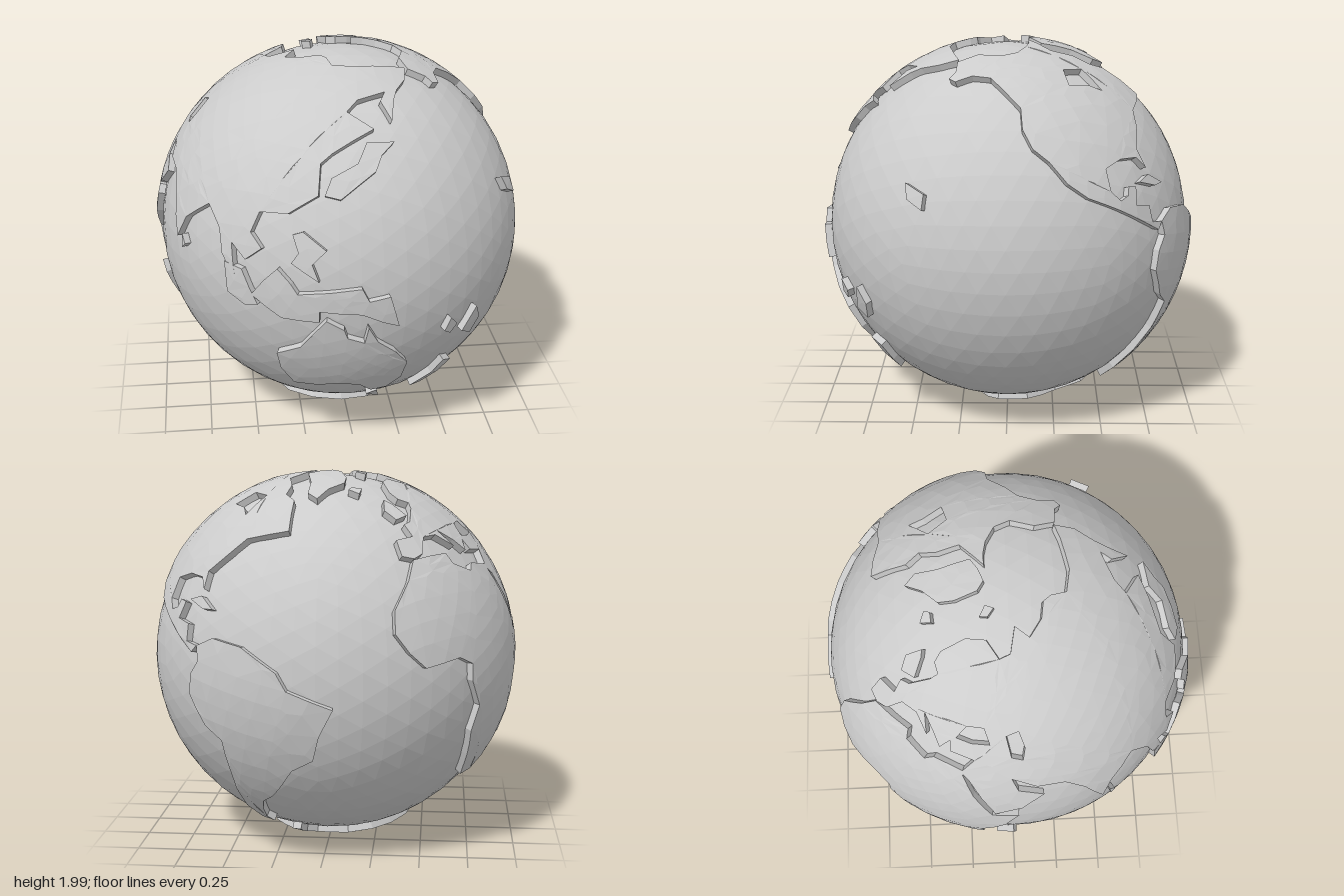
import * as THREE from 'three';

const SEA = 0.965, LAND = 1.0, ROOT = 0.94, MAX_EDGE = 0.16;
const FRONT_LON = 140; // longitude that faces +z

// Coastlines as longitude, latitude pairs
const COASTS = {
  eurasia: [-10, 37, -10, 42.5, -2, 43.5, -3, 48, 1, 49, 8, 54.5, 10, 57, 5, 59, 4, 62.5, 13, 69.5, 29, 71.5,
    42, 67, 50, 68.5, 56, 76, 68, 72, 87, 75, 104, 78, 116, 77, 126, 73, 149, 72, 179, 69.5, 191, 67,
    180, 63, 168, 60, 163, 57, 157, 50, 155, 57, 160, 60, 143, 58, 137, 54, 148, 48, 131, 41, 127, 38,
    127, 29, 118, 23.5, 109, 23, 107, 17, 111, 13, 106, 9, 101, 13, 103, 2, 98, 9, 96, 16, 90, 21.5,
    81, 15, 77.5, 8, 72, 19, 66, 25, 57, 26, 49, 30, 51, 25, 59, 22, 52, 16, 44, 12.5, 35, 28, 32.5, 30,
    32.5, 31.3, 36, 36, 27, 37, 26, 40.5, 23, 37, 19, 41, 13, 45, 17, 39, 10, 43.5, 3, 43, -1, 37.5, -5.5, 36],
  africa: [-6, 35.7, 10, 37, 11, 33.5, 19, 30.5, 22, 32.8, 32.5, 31.3, 32.5, 30, 37, 21, 43, 11.5, 51, 11.5,
    47, 4, 40, -4, 40, -15, 35, -20, 35, -24, 31, -30, 26, -34, 19, -34.5, 15, -26, 12, -17, 13.5, -9,
    9, -1, 9, 4, 4, 6.3, -8, 4.5, -13, 9, -17, 14.5, -16.5, 21, -10, 29.5],
  northAmerica: [-168, 66, -157, 71, -135, 71, -120, 73, -105, 77, -91, 80, -74, 82.5, -79, 78.5, -82, 72.5,
    -68, 67.5, -65, 62, -57, 59, -53, 46, -61, 44.5, -70, 42.5, -75, 37, -81, 31, -80, 25.5, -83, 29,
    -90, 29.5, -97, 27.5, -97, 21, -94, 18, -91, 19, -90, 21.5, -87, 21, -88.5, 16, -83, 15, -82.5, 10,
    -78, 9.3, -80, 7.2, -85, 10, -95, 15.5, -105, 20, -111, 24.5, -116, 31, -121, 35, -124, 41, -124, 48,
    -132, 55, -139, 59.5, -150, 60, -158, 57, -163, 58, -162, 61],
  southAmerica: [-78, 9.3, -72, 12, -62, 10.5, -51, 4, -48, -1, -35, -6, -39, -14, -41, -22, -48, -26,
    -54, -34, -58, -38, -63, -41, -66, -46, -69, -52, -67, -55, -73, -53, -75, -46, -73, -37, -71, -28,
    -70.5, -18, -76, -14, -81, -5, -80, 1, -77, 5],
  australia: [114, -21, 122, -17, 125, -13, 130, -7, 135, -10, 136, -13, 141, -15, 142, -9.5, 145, -15,
    151, -20, 156, -26, 156, -34, 152, -40, 146, -41, 141, -36, 133, -34.5, 126, -36, 117, -36, 114, -28],
  antarctica: [0, -68, 20, -67, 40, -65, 55, -63.5, 75, -66, 95, -63.5, 115, -63.5, 135, -63.5, 155, -65,
    165, -69, 166, -77, 185, -78, 205, -75, 220, -73, 250, -71, 285, -71, 296, -63.5, 303, -63, 298, -72,
    305, -76, 325, -76, 340, -71],
  greenland: [-73, 78, -62, 81.5, -35, 83.5, -18, 81, -20, 74, -25, 69.5, -38, 65.5, -44, 60, -51, 63, -54, 70],
  indonesia: [108, -1, 112, 4, 116, 8, 120, 4, 122, 1, 131, 2, 140, 3, 142, -1, 148, 0, 151, -10, 146, -8,
    140, -5, 128, -4, 128, -7.5, 117, -7],
  sumatra: [99, 7, 105, 6, 110, -4, 106, -5, 100, -2],
  philippines: [120, 18, 123, 19, 130, 14, 126, 10, 128, 5, 120, 10, 122, 13],
  japan: [129, 29, 131, 34, 140, 38, 144, 44, 155, 43.5, 149, 40, 146, 35.5, 134, 28],
  newZealand: [167, -47, 172, -39, 173, -31.5, 178, -33.5, 177, -41, 173, -47],
  tasmania: [145, -45, 149, -42, 152, -50],
  pacificIslandWest: [167, -16, 168.5, -11.5, 171.5, -14.5, 169.5, -17.5],
  pacificIslandEast: [175, -19, 179, -11, 182, -16, 180, -21.5],
  midPacificIsland: [198, 23.5, 205, 21, 205, 16.5, 199.5, 19],
  britain: [-5.5, 50, 1.5, 51.5, -2, 57, -5, 59, -9, 54],
  iceland: [-24, 65, -21, 66.5, -14, 65.5, -18, 62.5],
  svalbard: [10, 80, 25, 80.5, 22, 77.5, 13, 76.5],
  madagascar: [44, -24, 44, -17, 49.5, -12, 50.5, -16, 47, -25.5],
  sriLanka: [80, 9.5, 82, 7, 80.5, 5.5],
  cuba: [-85, 22, -80, 23.5, -74, 20, -78, 19.8],
};

// Inland seas cut through the land
const SEAS = {
  eurasia: [[28, 42, 31, 46.5, 38, 47, 41, 42, 34, 41.5], [47, 45, 52, 46.5, 54, 41, 53, 37, 49, 38]],
  northAmerica: [[-79, 61, -80, 51.5, -86, 54.5, -97, 55.5, -93, 62]],
};

function direction(lon, lat) {
  const a = THREE.MathUtils.degToRad(lon - FRONT_LON), b = THREE.MathUtils.degToRad(lat);
  return new THREE.Vector3(Math.cos(b) * Math.sin(a), Math.sin(b), Math.cos(b) * Math.cos(a));
}

function toDirections(coast) {
  const list = [];
  for (let i = 0; i < coast.length; i += 2) list.push(direction(coast[i], coast[i + 1]));
  return list;
}

const middle = (a, b) => a.clone().add(b).normalize();

// A raised slab that follows the sphere: lid on top, cliffs around each coastline
function landGeometry(coast, seas = []) {
  const rings = [coast, ...seas].map(toDirections);
  const centre = rings[0].reduce((s, p) => s.add(p), new THREE.Vector3()).normalize();
  const u = new THREE.Vector3(0, 1, 0);
  if (Math.abs(centre.y) > 0.9) u.set(1, 0, 0);
  u.cross(centre).normalize();
  const v = centre.clone().cross(u);
  // Gnomonic map: great circles become straight lines
  const flatten = (p) => new THREE.Vector2(p.dot(u), p.dot(v)).divideScalar(p.dot(centre));
  rings.forEach((ring, i) => {
    const clockwise = THREE.ShapeUtils.isClockWise(ring.map(flatten));
    if (clockwise === (i === 0)) ring.reverse();
  });

  const positions = [];
  const put = (p, r) => positions.push(p.x * r, p.y * r, p.z * r);

  const lid = (a, b, c) => {
    const ab = a.distanceTo(b), bc = b.distanceTo(c), ca = c.distanceTo(a);
    const longest = Math.max(ab, bc, ca);
    if (longest < MAX_EDGE) return [a, b, c].forEach((p) => put(p, LAND));
    if (longest === bc) return lid(b, c, a);
    if (longest === ca) return lid(c, a, b);
    const m = middle(a, b);
    lid(a, m, c);
    lid(m, b, c);
  };

  const cliff = (a, b) => {
    if (a.distanceTo(b) >= MAX_EDGE) {
      const m = middle(a, b);
      cliff(a, m);
      cliff(m, b);
      return;
    }
    put(a, ROOT); put(b, ROOT); put(b, LAND);
    put(a, ROOT); put(b, LAND); put(a, LAND);
  };

  const flat = rings.map((ring) => ring.map(flatten));
  const all = rings.flat();
  for (const [i, j, k] of THREE.ShapeUtils.triangulateShape(flat[0], flat.slice(1))) lid(all[i], all[j], all[k]);
  for (const ring of rings) ring.forEach((p, i) => cliff(p, ring[(i + 1) % ring.length]));

  const geometry = new THREE.BufferGeometry();
  geometry.setAttribute('position', new THREE.Float32BufferAttribute(positions, 3));
  geometry.computeVertexNormals();
  return geometry;
}

export function createModel() {
  const globe = new THREE.Group();
  globe.name = 'globe';
  const material = new THREE.MeshStandardMaterial({ color: 0xcccccc, flatShading: true });

  // Faceted ocean ball
  const ocean = new THREE.Mesh(new THREE.IcosahedronGeometry(SEA, 8), material);
  ocean.name = 'ocean';
  globe.add(ocean);

  // Continents and islands
  for (const [name, coast] of Object.entries(COASTS)) {
    const land = new THREE.Mesh(landGeometry(coast, SEAS[name]), material);
    land.name = name;
    globe.add(land);
  }

  globe.position.y = 1;
  const model = new THREE.Group();
  model.name = 'reliefGlobe';
  model.add(globe);
  return model;
}
